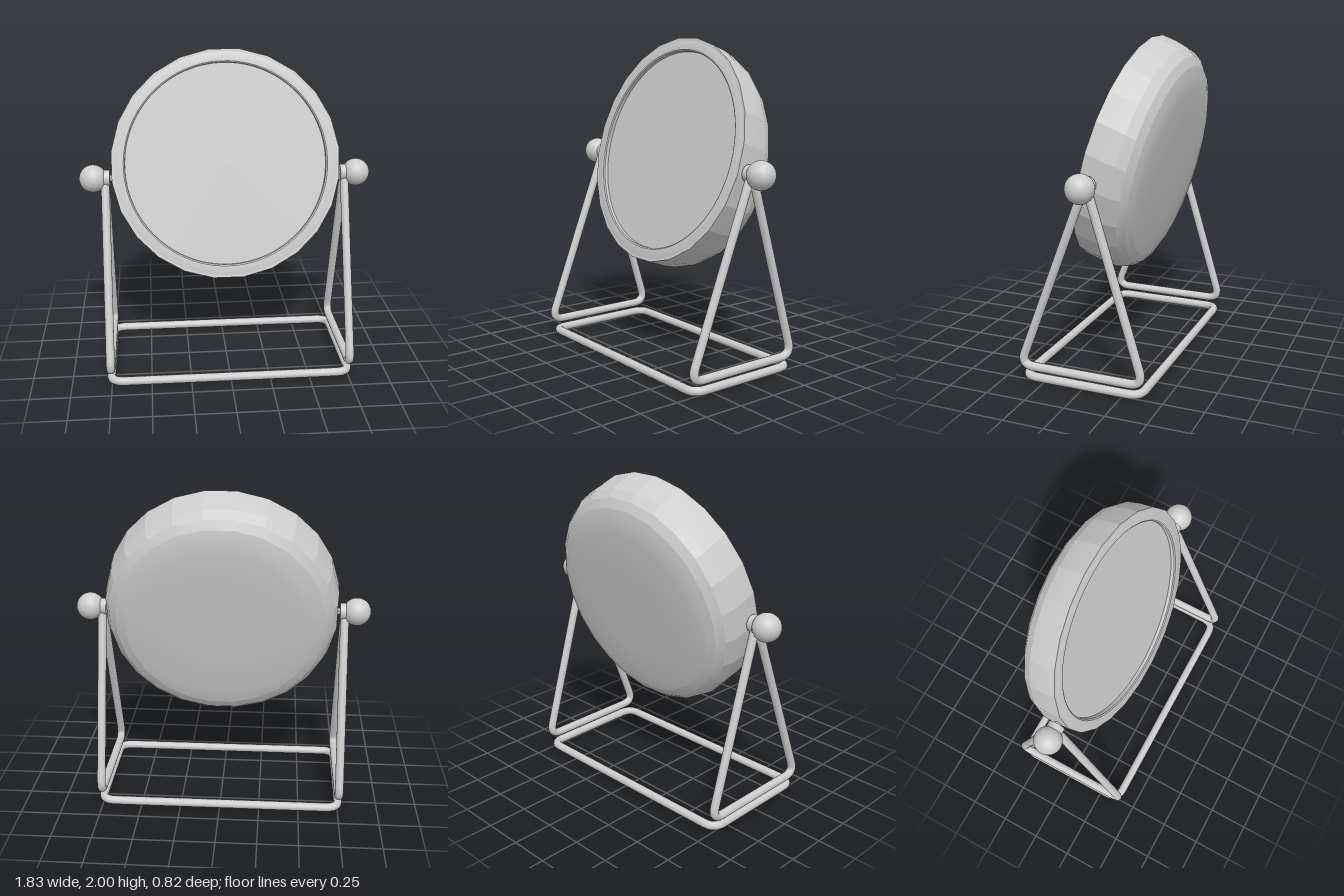
import * as THREE from 'three';
import { toCreasedNormals } from 'three/addons/utils/BufferGeometryUtils.js';

const grey = new THREE.MeshStandardMaterial({ color: 0xcccccc });
grey.name = 'light grey';

const V = (x, y, z) => new THREE.Vector3(x, y, z);

function add(parent, name, geometry) {
  const mesh = new THREE.Mesh(geometry, grey);
  mesh.name = name;
  parent.add(mesh);
  return mesh;
}

// Closed wire through the corners, each bent with its own cut-back length
function wire(corners, bends, radius) {
  const path = new THREE.CurvePath();
  const n = corners.length;
  const toward = (i, j) => corners[i].clone().add(
    corners[j].clone().sub(corners[i]).setLength(bends[i]));
  for (let i = 0; i < n; i++) {
    const prev = (i + n - 1) % n, next = (i + 1) % n;
    path.add(new THREE.QuadraticBezierCurve3(toward(i, prev), corners[i], toward(i, next)));
    path.add(new THREE.LineCurve3(toward(i, next), toward(next, i)));
  }
  return new THREE.TubeGeometry(path, 200, radius, 12, true);
}

// Lathe around the mirror's own axis (y = forward, z = down the disc)
function disc(profile, segments) {
  const points = profile.map(([r, y]) => new THREE.Vector2(r, y));
  return new THREE.LatheGeometry(points, segments, Math.PI / segments);
}

export function createModel() {
  const model = new THREE.Group();
  model.name = 'tableMirror';

  // Tilted mirror head
  const head = new THREE.Group();
  head.name = 'mirrorHead';
  head.position.set(0, 1.32, 0.01);
  head.rotation.x = THREE.MathUtils.degToRad(75);
  model.add(head);

  // Faceted shell, a little fuller toward the bottom of the back
  const shell = disc([[0, -0.327], [0.3, -0.325], [0.5, -0.32], [0.58, -0.308], [0.635, -0.288],
    [0.68, -0.25], [0.708, -0.19], [0.718, -0.1], [0.717, 0], [0.67, 0]], 24);
  const pos = shell.attributes.position;
  for (let i = 0; i < pos.count; i++) {
    const y = pos.getY(i), z = pos.getZ(i);
    pos.setY(i, y * (1 + 0.12 * z));
    pos.setZ(i, z - 0.1 * y);
  }
  add(head, 'shell', toCreasedNormals(shell, 0.2));

  // Smooth front rim with the recessed glass
  add(head, 'rim', toCreasedNormals(disc([[0.7, -0.002], [0.69, 0.002], [0.638, 0.002],
    [0.63, -0.004], [0.63, -0.03]], 72), 0.6));
  add(head, 'glass', disc([[0.632, -0.027], [0, -0.027]], 72));

  // Base loop lying on the ground
  add(model, 'baseLoop', wire([V(0.755, 0.03, 0.378), V(0.755, 0.03, -0.363),
    V(-0.755, 0.03, -0.363), V(-0.755, 0.03, 0.378)], [0.08, 0.08, 0.08, 0.08], 0.027));

  // Triangular legs and pivots, mirrored left and right
  for (const [side, s] of [['left', 1], ['right', -1]]) {
    const x = 0.755 * s;
    add(model, side + 'Leg', wire([V(x, 1.25, -0.037), V(x, 0.095, 0.405),
      V(x, 0.095, -0.385)], [0.07, 0.09, 0.09], 0.027));

    const pivot = new THREE.Group();
    pivot.name = side + 'Pivot';
    pivot.position.set(0, 1.235, -0.037);
    model.add(pivot);
    const knob = add(pivot, side + 'Knob', new THREE.SphereGeometry(0.086, 32, 20));
    knob.position.x = 0.83 * s;
    const collar = add(pivot, side + 'Collar', new THREE.CylinderGeometry(0.052, 0.052, 0.06, 24));
    collar.rotation.z = Math.PI / 2;
    collar.position.x = 0.755 * s;
    const pin = add(pivot, side + 'Pin', new THREE.CylinderGeometry(0.02, 0.02, 0.08, 16));
    pin.rotation.z = Math.PI / 2;
    pin.position.x = 0.71 * s;
  }
  return model;
}
